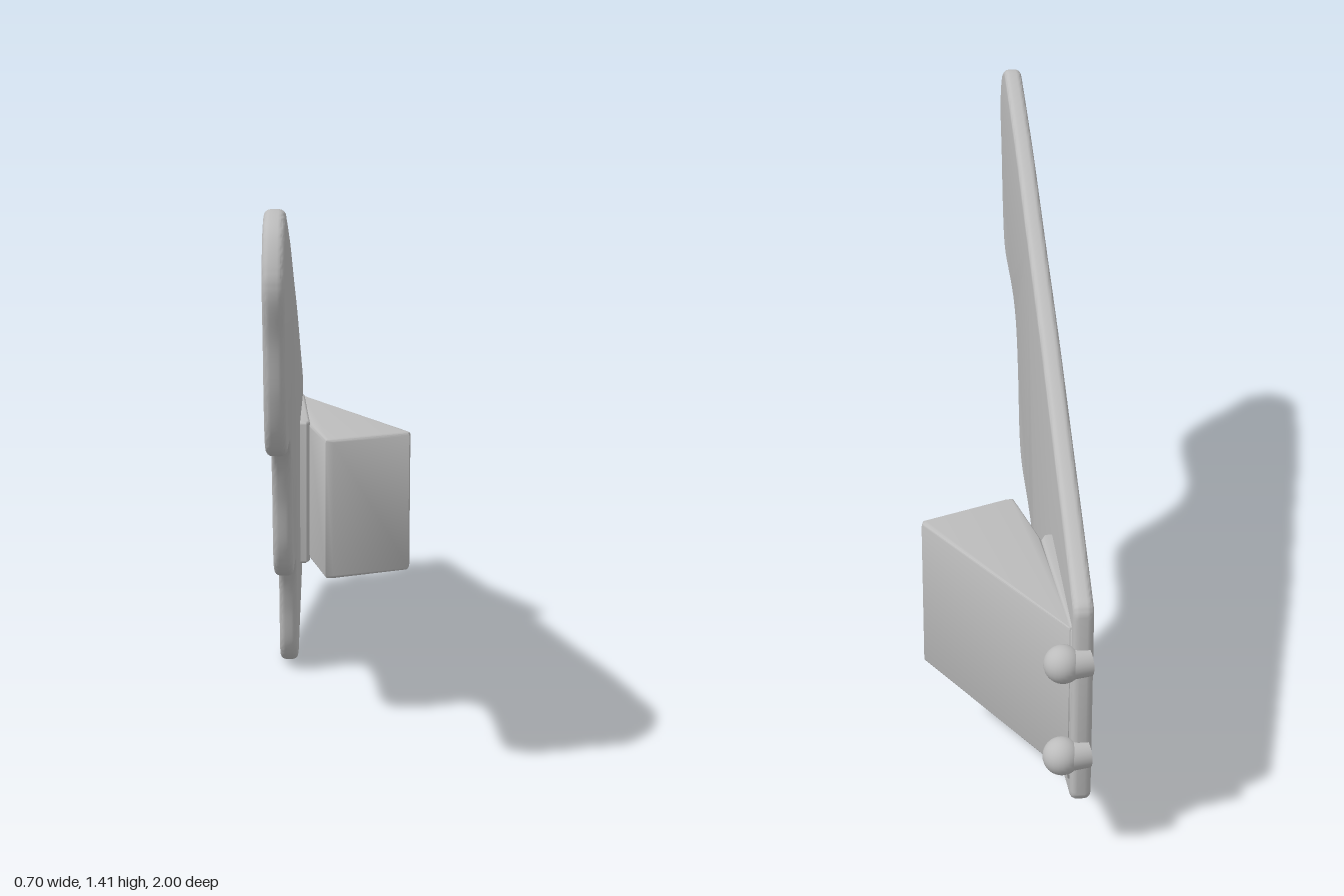
import * as THREE from 'three';
import { toCreasedNormals } from 'three/addons/utils/BufferGeometryUtils.js';

const grey = new THREE.MeshStandardMaterial({ color: 0xbcbcbc });
grey.name = 'plain grey';

// Rounded-edge slab: total thickness includes the bevels, outline is kept.
function slab(shape, thickness, bevel) {
  const geo = new THREE.ExtrudeGeometry(shape, {
    depth: thickness - 2 * bevel, bevelThickness: bevel, bevelSize: bevel,
    bevelOffset: -bevel, bevelSegments: 4, curveSegments: 8,
  });
  geo.translate(0, 0, bevel);
  return toCreasedNormals(geo, 0.6);
}

function part(name, geo) {
  const mesh = new THREE.Mesh(geo, grey);
  mesh.name = name;
  return mesh;
}

// Block standing on a footprint of [x, z] corners, from y0 to y1.
function block(name, corners, y0, y1, bevel) {
  const shape = new THREE.Shape(corners.map(([x, z]) => new THREE.Vector2(x, -z)));
  const geo = slab(shape, y1 - y0, bevel);
  geo.rotateX(-Math.PI / 2);
  geo.translate(0, y0, 0);
  return part(name, geo);
}

export function createModel() {
  const model = new THREE.Group();
  model.name = 'wing';

  // Wing plate: [z, y] outline, scalloped lower edge, turned about y
  const along = 0.972;
  const v = ([z, y]) => new THREE.Vector2(-z / along, y);
  const scallops = [
    [-0.27, 0.002], [-0.19, 0.025], [-0.14, 0.08], [-0.11, 0.2], [-0.075, 0.29], [-0.02, 0.35],
    [0.09, 0.38], [0.25, 0.4], [0.33, 0.435], [0.375, 0.505], [0.41, 0.64],
    [0.46, 0.75], [0.53, 0.805], [0.63, 0.828], [0.81, 0.847], [0.88, 0.895],
    [0.925, 1.0], [0.955, 1.13], [0.992, 1.24], [0.985, 1.31], [0.94, 1.38],
    [0.86, 1.415], [0.79, 1.402], [0.62, 1.35], [0.45, 1.293], [0.14, 1.17],
    [-0.2, 1.04], [-0.54, 0.89], [-0.82, 0.767], [-0.935, 0.714],
  ].map(v);
  const outline = new THREE.Shape();
  const c = (z, y) => v([z, y]).toArray();
  outline.moveTo(...c(-0.935, 0.714));
  outline.quadraticCurveTo(...c(-0.964, 0.705), ...c(-0.964, 0.67));
  outline.lineTo(...c(-0.964, 0.19));
  outline.quadraticCurveTo(...c(-0.964, 0.165), ...c(-0.935, 0.158));
  outline.lineTo(...c(-0.32, 0.012));
  outline.lineTo(...c(-0.27, 0.002));
  outline.splineThru(scallops.slice(1));
  const plate = part('wingPlate', slab(outline, 0.05, 0.016));
  plate.geometry.translate(0, 0, -0.025);
  plate.rotation.y = Math.acos(0.233);
  plate.position.x = -0.095;
  model.add(plate);

  // Mounting wedge and the thin pad that joins it to the plate
  model.add(block('mountWedge',
    [[0.155, -0.945], [0.08, -0.5], [0.078, -0.283], [0.1, -0.28], [0.335, -0.323], [0.343, -0.34]],
    0.225, 0.637, 0.01));
  model.add(block('mountPad',
    [[0.135, -0.94], [0.04, -0.505], [0.07, -0.5], [0.085, -0.52], [0.16, -0.935]],
    0.213, 0.643, 0.008));

  // Hinge pins on the rear edge
  for (const y of [0.3, 0.557]) {
    const pin = new THREE.Group();
    pin.name = 'hingePin';
    const ball = part('pinBall', new THREE.SphereGeometry(0.046, 24, 16));
    ball.position.set(0.182, y, -0.952);
    const stem = part('pinStem', new THREE.CylinderGeometry(0.036, 0.036, 0.06, 24));
    stem.rotation.z = Math.PI / 2;
    stem.position.set(0.15, y, -0.959);
    pin.add(ball, stem);
    model.add(pin);
  }
  return model;
}
